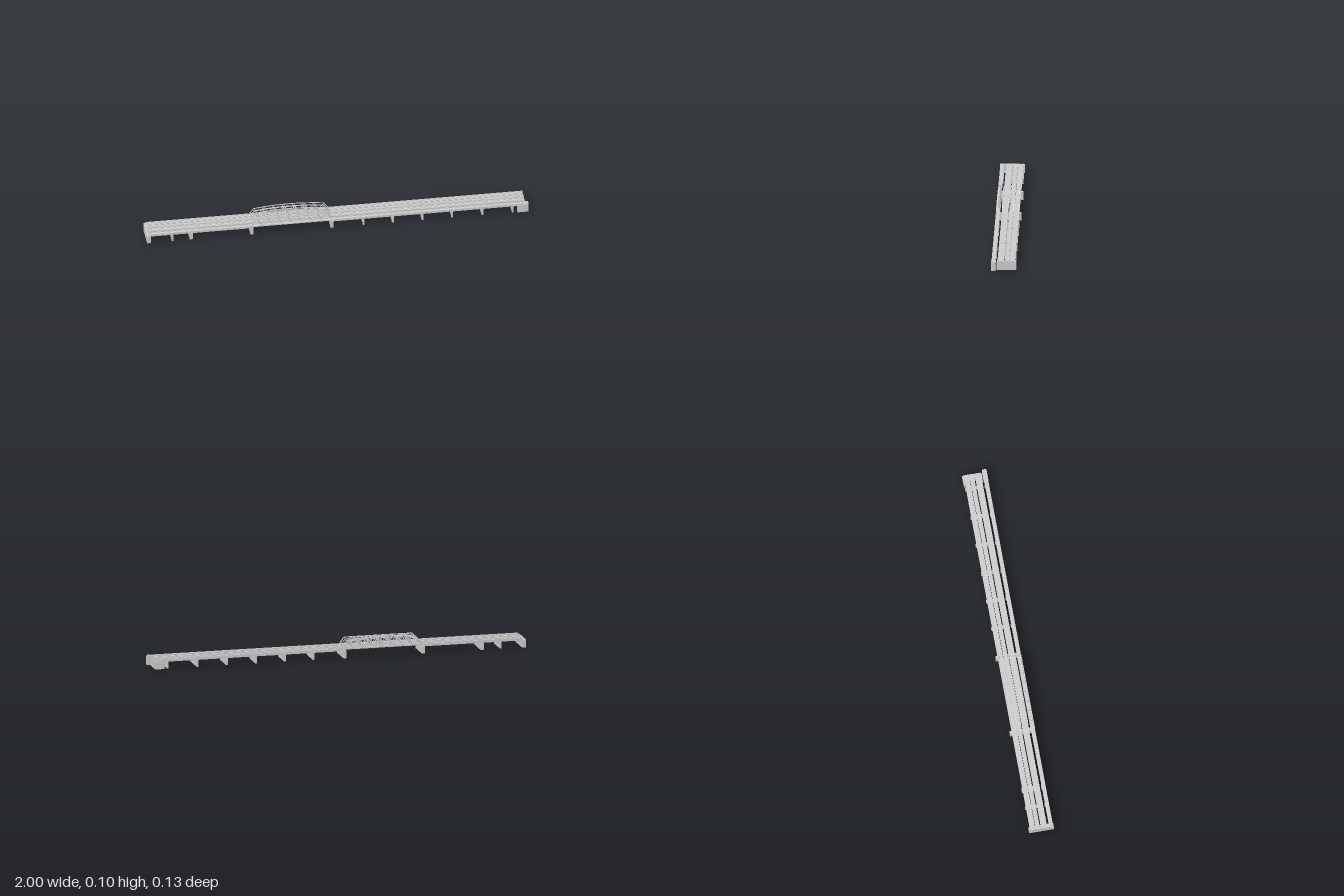
import * as THREE from 'three';

const mat = new THREE.MeshStandardMaterial({ color: 0xcccccc, flatShading: true });
const X0 = -0.45, X1 = -0.03; // main span

export function createModel() {
  const model = new THREE.Group();

  // box given by its limits on each axis
  function box(name, x0, x1, y0, y1, z0, z1, parent = model) {
    const m = new THREE.Mesh(new THREE.BoxGeometry(x1 - x0, y1 - y0, z1 - z0), mat);
    m.position.set((x0 + x1) / 2, (y0 + y1) / 2, (z0 + z1) / 2);
    m.name = name;
    parent.add(m);
  }

  // square bar between two points
  function bar(name, a, b, t, parent) {
    const p = new THREE.Vector3(...a), q = new THREE.Vector3(...b);
    const m = new THREE.Mesh(new THREE.BoxGeometry(t, t, p.distanceTo(q)), mat);
    m.position.copy(p).add(q).multiplyScalar(0.5);
    m.lookAt(q);
    m.name = name;
    parent.add(m);
  }

  // parallel decks: three track decks and one footbridge
  const decks = [
    { name: 'rearDeck', z0: -0.057, z1: -0.0285, end: 0.985 },
    { name: 'innerDeck', z0: -0.0265, z1: -0.004, end: 0.985 },
    { name: 'middleDeck', z0: 0.001, z1: 0.034, end: 0.985 },
    { name: 'footDeck', z0: 0.044, z1: 0.065, end: 1 },
  ];
  for (const d of decks) {
    const g = new THREE.Group();
    g.name = d.name;
    model.add(g);
    const start = -0.99;
    box('deckPlate', start, d.end, 0.0445, 0.048, d.z0, d.z1, g);
    // raised edges along both sides
    for (const z of [d.z0, d.z1 - 0.002]) box('edgeBeam', start, d.end, 0.044, 0.0505, z, z + 0.002, g);
    // girders and cross frames below the approach spans
    for (const [a, b] of [[start, X0], [X1, d.end]]) {
      for (const z of [d.z0 + 0.003, d.z1 - 0.006]) {
        box('girder', a, b, 0.036, 0.0445, z, z + 0.003, g);
      }
      const n = Math.round((b - a) / 0.05);
      for (let i = 1; i < n; i++) {
        const x = a + (b - a) * i / n;
        box('crossFrame', x - 0.001, x + 0.001, 0.038, 0.0445, d.z0 + 0.004, d.z1 - 0.004, g);
      }
    }
    // floor beams below the main span
    for (let i = 0; i <= 14; i++) {
      const x = X0 + (X1 - X0) * i / 14;
      box('floorBeam', x - 0.001, x + 0.001, 0.042, 0.0445, d.z0, d.z1, g);
    }
  }

  // rails on the track decks
  for (const d of decks.slice(0, 3)) {
    const c = (d.z0 + d.z1) / 2;
    for (const s of [-1, 1]) box('rail', -0.99, d.end, 0.048, 0.0495, c + s * 0.006 - 0.0006, c + s * 0.006 + 0.0006);
  }

  // bowed side trusses
  function archTruss(z, peak) {
    const g = new THREE.Group();
    g.name = 'archTruss';
    model.add(g);
    const n = 8, w = (X1 - X0) / n, t = 0.0035, yb = 0.046;
    const top = [];
    for (let i = 0; i < n; i++) {
      const u = (i + 0.5) / n * 2 - 1;
      top.push([X0 + w * (i + 0.5), peak - 0.0015 - 0.016 * u * u, z]);
    }
    bar('bottomChord', [X0, yb, z], [X1, yb, z], t, g);
    for (let i = 0; i < n; i++) {
      bar('diagonal', [X0 + w * i, yb, z], top[i], i === 0 ? t : 0.0028, g);
      bar('diagonal', top[i], [X0 + w * (i + 1), yb, z], i === n - 1 ? t : 0.0028, g);
      if (i < n - 1) bar('topChord', top[i], top[i + 1], t, g);
    }
  }
  for (const z of [-0.05, -0.029, -0.026, -0.005]) archTruss(z, 0.096);
  for (const z of [0.003, 0.033]) archTruss(z, 0.092);

  // footbridge truss of triangular section with a level top chord
  const foot = new THREE.Group();
  foot.name = 'triangularTruss';
  model.add(foot);
  const n = 8, w = (X1 - X0) / n, zc = 0.0545, yt = 0.084;
  bar('topChord', [X0 + w / 2, yt, zc], [X1 - w / 2, yt, zc], 0.005, foot);
  for (const s of [-1, 1]) {
    const z = zc + s * 0.01;
    bar('bottomChord', [X0, 0.048, z], [X1, 0.048, z], 0.004, foot);
    for (let i = 0; i < n; i++) {
      const apex = [X0 + w * (i + 0.5), yt, zc];
      bar('diagonal', [X0 + w * i, 0.048, z], apex, 0.0028, foot);
      bar('diagonal', apex, [X0 + w * (i + 1), 0.048, z], 0.0028, foot);
    }
  }

  // piers: a wall below the tracks and one below the footbridge
  const piers = [[-0.866, 0.008], [-0.767, 0.018], [0.136, 0.009], [0.289, 0.009],
    [0.444, 0.009], [0.6, 0.009], [0.758, 0.009], [0.917, 0.009]];
  for (const [x, t] of piers) {
    box('trackPier', x - t / 2, x + t / 2, 0, 0.036, -0.06, 0.034);
    box('footPier', x - t / 2, x + t / 2, 0, 0.036, 0.043, 0.064);
  }
  for (const x of [X0, X1]) box('mainPier', x - 0.0075, x + 0.0075, 0, 0.042, -0.067, 0.066);

  // end abutments
  box('abutment', -1, -0.98, 0, 0.043, -0.062, 0.068);
  box('trackAbutment', 0.965, 0.985, 0, 0.043, -0.06, 0.037);
  box('wingWall', 0.935, 0.985, 0, 0.043, -0.063, -0.057);
  box('wingWall', 0.945, 0.985, 0, 0.043, 0.033, 0.038);
  box('footAbutment', 0.942, 1, 0, 0.043, 0.043, 0.067);
  return model;
}
